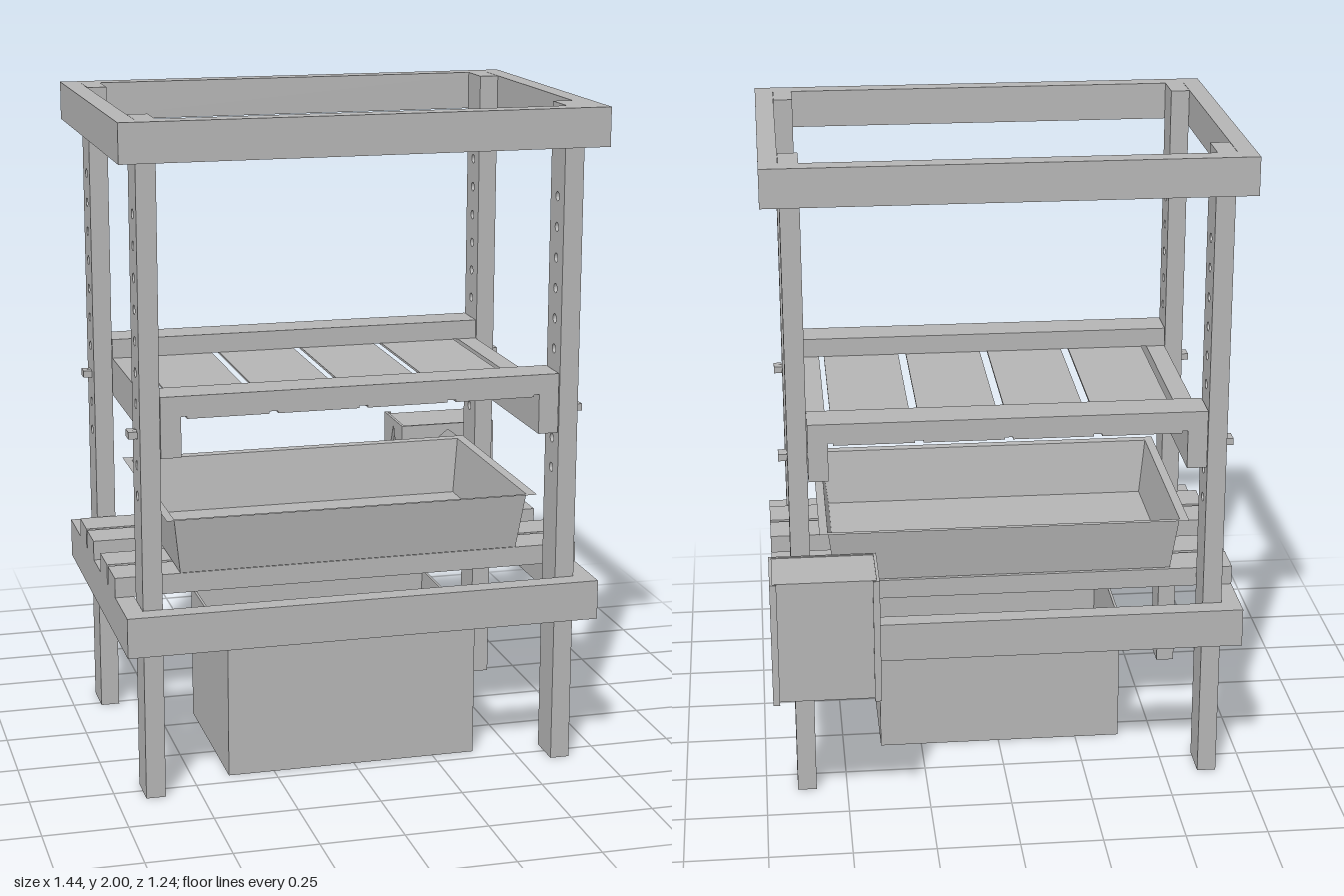
import * as THREE from 'three';

const grey = new THREE.MeshStandardMaterial({ color: 0xb4b4b4, side: THREE.DoubleSide });
grey.name = 'plain grey';

function add(parent, name, geometry) {
  const mesh = new THREE.Mesh(geometry, grey);
  mesh.name = name;
  parent.add(mesh);
  return mesh;
}

// Box given by its two extremes on each axis
function block(parent, name, x0, x1, y0, y1, z0, z1) {
  const g = new THREE.BoxGeometry(x1 - x0, y1 - y0, z1 - z0);
  g.translate((x0 + x1) / 2, (y0 + y1) / 2, (z0 + z1) / 2);
  return add(parent, name, g);
}

function polygon(points, Type = THREE.Shape) {
  return new Type(points.map(([x, y]) => new THREE.Vector2(x, y)));
}

function rectangle(x0, x1, y0, y1) {
  return polygon([[x0, y0], [x1, y0], [x1, y1], [x0, y1]]);
}

// Extrude a shape drawn in (z, y) so that it fills x0..x1
function extrudeAlongX(shape, x0, x1) {
  const g = new THREE.ExtrudeGeometry(shape, { depth: x1 - x0, bevelEnabled: false, curveSegments: 10 });
  return g.rotateY(-Math.PI / 2).translate(x1, 0, 0);
}

// Open sheet-metal vessel: rectangular loops [halfX, halfZ, y] joined in turn
function vessel(loops) {
  const signs = [[-1, -1], [-1, 1], [1, 1], [1, -1]];
  const corner = ([hx, hz, y], i) => [signs[i % 4][0] * hx, y, signs[i % 4][1] * hz];
  const pos = [];
  const quad = (a, b, c, d) => pos.push(...a, ...b, ...c, ...a, ...c, ...d);
  quad(...[0, 1, 2, 3].map((i) => corner(loops[0], i)));
  for (let k = 0; k < loops.length - 1; k++) {
    for (let i = 0; i < 4; i++) {
      quad(corner(loops[k], i), corner(loops[k], i + 1), corner(loops[k + 1], i + 1), corner(loops[k + 1], i));
    }
  }
  const g = new THREE.BufferGeometry();
  g.setAttribute('position', new THREE.Float32BufferAttribute(pos, 3));
  g.computeVertexNormals();
  return g;
}

export function createModel() {
  const model = new THREE.Group();
  model.name = 'pressStand';

  const stand = new THREE.Group();
  stand.name = 'stand';
  stand.position.x = -0.005;
  model.add(stand);

  // Upper and lower rectangular frames
  for (const [name, y0, y1] of [['upperFrame', 1.885, 2], ['lowerFrame', 0.46, 0.58]]) {
    const frame = new THREE.Group();
    frame.name = name;
    stand.add(frame);
    block(frame, 'frontBar', -0.715, 0.715, y0, y1, 0.56, 0.62);
    block(frame, 'backBar', -0.715, 0.715, y0, y1, -0.41, -0.35);
    for (const s of [-1, 1]) block(frame, 'sideBar', s * 0.687 - 0.028, s * 0.687 + 0.028, y0, y1, -0.35, 0.56);
  }

  // Legs drilled with height-adjustment holes, and the pins holding the rack
  for (const [z0, z1] of [[0.445, 0.56], [-0.35, -0.23]]) {
    const zc = (z0 + z1) / 2;
    for (const s of [-1, 1]) {
      const shape = rectangle(z0, z1, 0, 2);
      for (let i = 0; i < 10; i++) {
        shape.holes.push(new THREE.Path().absarc(zc, 0.91 + i * 0.091, 0.014, 0, Math.PI * 2, true));
      }
      add(stand, 'leg', extrudeAlongX(shape, s * 0.629 - 0.029, s * 0.629 + 0.029));

      const shank = new THREE.CylinderGeometry(0.012, 0.012, 0.1, 12).rotateZ(Math.PI / 2);
      add(stand, 'pin', shank).position.set(s * 0.62, 1.095, zc);
      const head = new THREE.BoxGeometry(0.026, 0.021, 0.044);
      add(stand, 'pinHead', head).position.set(s * 0.672, 1.095, zc);
    }
  }

  // Adjustable rack: two flat cross bars on side rails, with thin slats below
  const rack = new THREE.Group();
  rack.name = 'rack';
  stand.add(rack);
  block(rack, 'frontCrossBar', -0.598, 0.598, 1.15, 1.21, 0.442, 0.557);
  block(rack, 'backCrossBar', -0.598, 0.598, 1.15, 1.21, -0.352, -0.233);
  for (const s of [-1, 1]) block(rack, 'sideRail', s * 0.568 - 0.03, s * 0.568 + 0.03, 1.03, 1.15, -0.352, 0.557);
  for (let i = 0; i < 4; i++) {
    const x = -0.4 + i * 0.267;
    block(rack, 'rackSlat', x - 0.121, x + 0.121, 1.143, 1.15, -0.352, 0.557);
  }

  // Slats carrying the tray
  for (const z of [-0.155, -0.02, 0.225, 0.36]) {
    block(stand, 'traySlat', -0.715, 0.715, 0.58, 0.64, z - 0.06, z + 0.06);
  }

  // Tapered tray with a flat rim
  const tray = add(stand, 'tray', vessel([[0.52, 0.315, 0.642], [0.542, 0.342, 0.815], [0.568, 0.366, 0.818]]));
  tray.position.z = 0.108;

  // Open bin on the floor
  const bin = add(stand, 'bin', vessel([
    [0.377, 0.26, 0.012], [0.377, 0.26, 0.425], [0.385, 0.267, 0.425], [0.385, 0.267, 0], [0, 0, 0],
  ]));
  bin.position.z = 0.182;

  // Control box at the back with diamond cut-outs in its cover plates
  const box = new THREE.Group();
  box.name = 'controlBox';
  model.add(box);
  block(box, 'body', 0.409, 0.711, 0.437, 0.817, -0.607, -0.42);
  for (const x of [0.4, 0.711]) {
    const side = rectangle(-0.622, -0.412, 0.433, 0.82);
    side.holes.push(polygon([[-0.515, 0.8], [-0.588, 0.635], [-0.515, 0.47], [-0.442, 0.635]], THREE.Path));
    add(box, 'sidePlate', extrudeAlongX(side, x, x + 0.009));
  }
  for (const [x0, x1] of [[0.402, 0.42], [0.7, 0.718]]) {
    block(box, 'backLip', x0, x1, 0.433, 0.82, -0.622, -0.615);
  }
  const front = rectangle(0.409, 0.711, 0.433, 0.82);
  front.holes.push(polygon([[0.56, 0.8], [0.69, 0.7], [0.56, 0.55], [0.43, 0.7]], THREE.Path));
  const plate = new THREE.ExtrudeGeometry(front, { depth: 0.008, bevelEnabled: false });
  add(box, 'frontPlate', plate).position.z = -0.42;

  return model;
}
